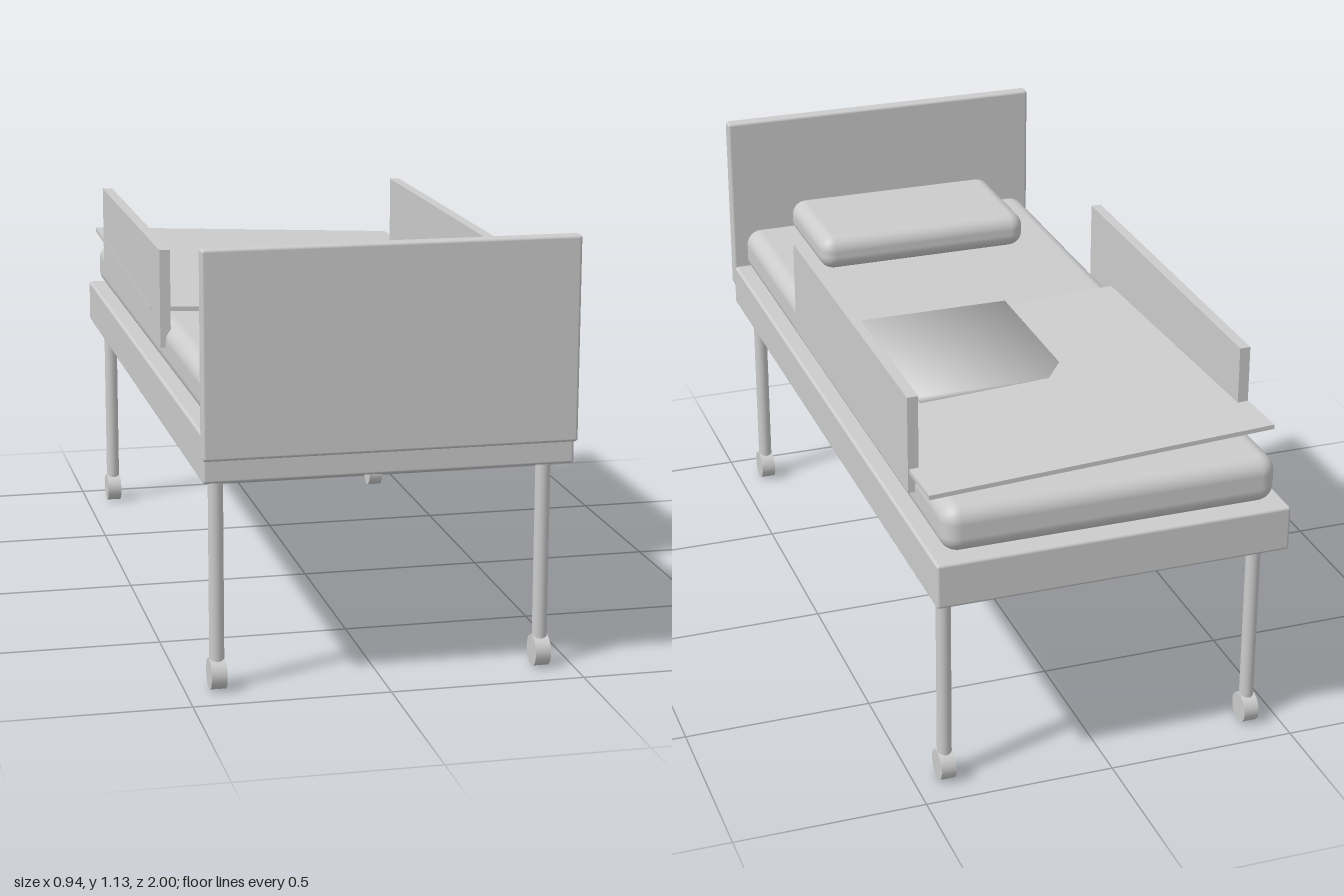
import * as THREE from 'three';
import { RoundedBoxGeometry } from 'three/addons/geometries/RoundedBoxGeometry.js';

export function createModel() {
  const bed = new THREE.Group();
  bed.name = 'wheeledBed';
  const grey = new THREE.MeshStandardMaterial({ color: 0xcccccc });
  grey.name = 'lightGrey';

  const add = (name, geometry, x = 0, y = 0, z = 0) => {
    const mesh = new THREE.Mesh(geometry, grey);
    mesh.name = name;
    mesh.position.set(x, y, z);
    bed.add(mesh);
    return mesh;
  };

  // Box given by its limits, with rounded edges when a radius is set
  const block = (name, [x0, x1], [y0, y1], [z0, z1], radius = 0) => {
    const size = [x1 - x0, y1 - y0, z1 - z0];
    const geometry = radius
      ? new RoundedBoxGeometry(...size, 5, radius)
      : new THREE.BoxGeometry(...size);
    return add(name, geometry, (x0 + x1) / 2, (y0 + y1) / 2, (z0 + z1) / 2);
  };

  // Frame, headboard and bedding
  block('frame', [-0.467, 0.467], [0.555, 0.676], [-1, 0.98], 0.008);
  block('headboard', [-0.47, 0.47], [0.615, 1.132], [0.962, 1], 0.008);
  block('mattress', [-0.442, 0.438], [0.677, 0.805], [-0.972, 0.955], 0.045);
  block('pillow', [-0.312, 0.308], [0.803, 0.903], [0.538, 0.9], 0.042);

  // Thin sheet that slopes down towards one side and the pillow
  const sheet = new THREE.BoxGeometry(0.91, 0.012, 1.04);
  sheet.translate(-0.002, -0.006, -0.38);
  const p = sheet.attributes.position;
  for (let i = 0; i < p.count; i++) {
    p.setY(i, p.getY(i) + 0.805 - 0.05 * (p.getX(i) - 0.3) - 0.036 * (p.getZ(i) + 0.39));
  }
  sheet.computeVertexNormals();
  add('sheet', sheet);

  // Folded blanket, level and softly shaded
  const blanket = block('blanket', [-0.108, 0.31], [0.795, 0.822], [-0.38, 0.14]).geometry;
  const corner = new THREE.Vector3();
  for (let i = 0; i < blanket.attributes.position.count; i++) {
    corner.fromBufferAttribute(blanket.attributes.position, i);
    corner.set(Math.sign(corner.x), Math.sign(corner.y), Math.sign(corner.z)).normalize();
    blanket.attributes.normal.setXYZ(i, corner.x, corner.y, corner.z);
  }

  // Side rails, legs and wheels
  const leg = new THREE.CylinderGeometry(0.019, 0.019, 0.53, 20);
  const wheel = new THREE.CylinderGeometry(0.04, 0.04, 0.04, 28).rotateZ(Math.PI / 2);
  for (const side of [-1, 1]) {
    const label = side > 0 ? 'left' : 'right';
    const cx = side * 0.442;
    block(label + 'Rail', [cx - 0.014, cx + 0.014], [0.745, 1.006], [-0.74, 0.302]);
    for (const [end, z] of [['Head', 0.88], ['Foot', -0.895]]) {
      add(label + end + 'Leg', leg, side * 0.418, 0.305, z);
      add(label + end + 'Wheel', wheel, side * 0.418, 0.04, z);
    }
  }
  return bed;
}
